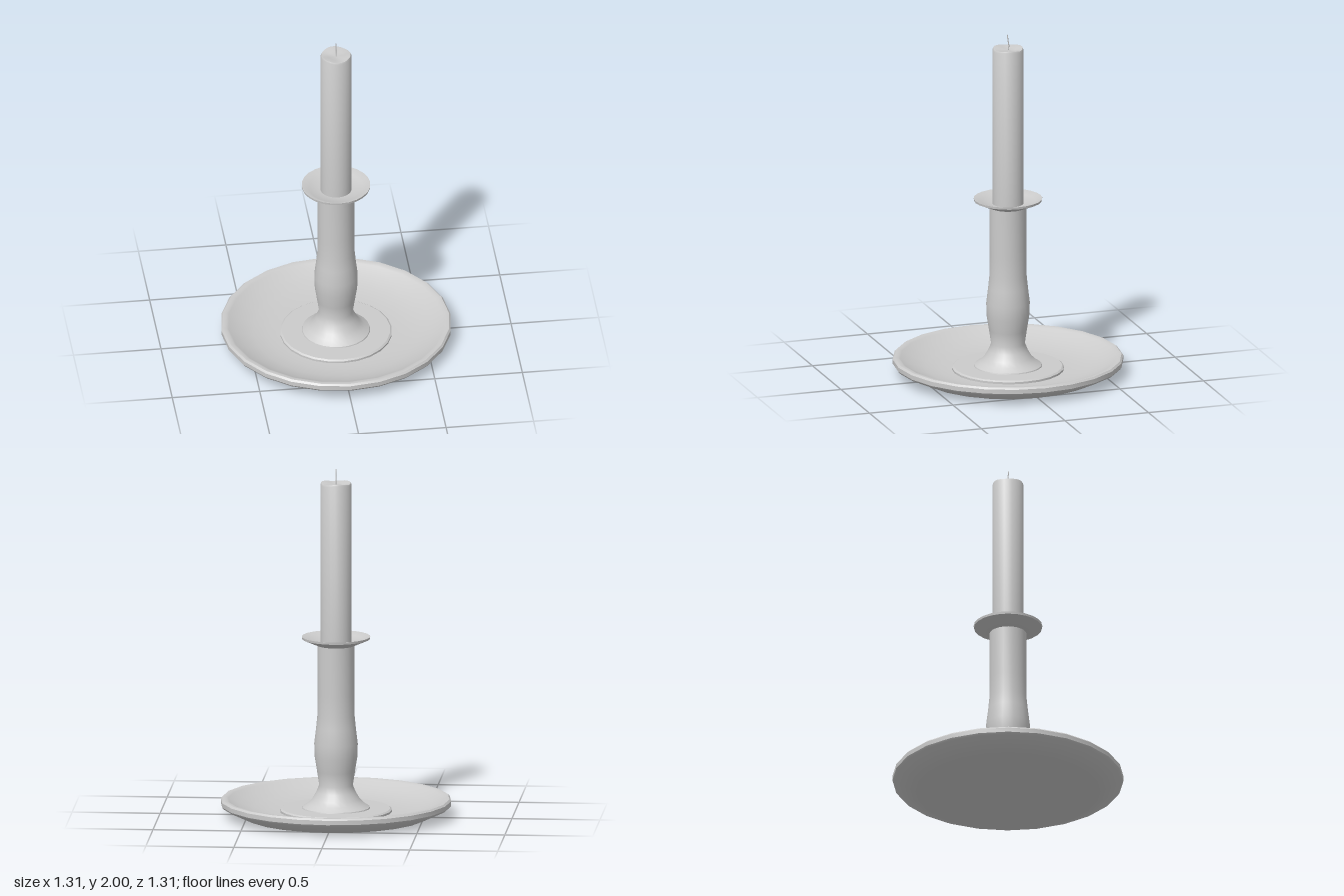
import * as THREE from 'three';
import { toCreasedNormals } from 'three/addons/utils/BufferGeometryUtils.js';

const material = new THREE.MeshStandardMaterial({ color: 0xcccccc, side: THREE.DoubleSide });
const SIDES = 24;

// Turned geometry from [radius, height] pairs, listed from the bottom up the outside.
const turned = (profile) =>
  new THREE.LatheGeometry(profile.map(([r, y]) => new THREE.Vector2(r, y)), SIDES);

function addPart(group, name, geometry, crease = 0.6) {
  const mesh = new THREE.Mesh(crease ? toCreasedNormals(geometry, crease) : geometry, material);
  mesh.name = name;
  group.add(mesh);
}

export function createModel() {
  const group = new THREE.Group();
  group.name = 'candlestick';

  // Wide shallow dish with a flat underside and a narrow rim
  addPart(group, 'dish', turned([
    [0, 0], [0.52, 0], [0.648, 0.06], [0.655, 0.07], [0.655, 0.095], [0.645, 0.105],
    [0.625, 0.105], [0.612, 0.098], [0.55, 0.068], [0.47, 0.045], [0.39, 0.033], [0.315, 0.028], [0, 0.028],
  ]));

  // Low raised disc under the column
  addPart(group, 'baseRing', turned([[0.318, 0.022], [0.318, 0.04], [0.308, 0.047], [0, 0.05]]));

  // Flared foot, swelling grip and straight neck
  addPart(group, 'column', turned([
    [0.195, 0.045], [0.192, 0.054], [0.16, 0.075], [0.135, 0.1], [0.112, 0.14], [0.096, 0.18],
    [0.108, 0.26], [0.121, 0.34], [0.124, 0.42], [0.113, 0.51], [0.106, 0.58],
    [0.105, 0.7], [0.105, 0.99],
  ]));

  // Drip pan with a shallow hollow
  addPart(group, 'dripPan', turned([
    [0, 0.985], [0.105, 0.985], [0.193, 1.023], [0.195, 1.036], [0.19, 1.036], [0.155, 1.018], [0.085, 1.005], [0, 1.005],
  ]));

  // Candle with a slightly melted, uneven top edge
  const candle = turned([
    [0, 1], [0.088, 1], [0.088, 1.912], [0.084, 1.921], [0.075, 1.921], [0.045, 1.914], [0, 1.911],
  ]);
  const p = candle.attributes.position;
  for (let i = 0; i < p.count; i++) {
    const x = p.getX(i), z = p.getZ(i);
    if (p.getY(i) > 1.5) {
      const ripple = 0.004 * Math.sin(3 * Math.atan2(z, x) + 0.6);
      p.setY(i, p.getY(i) + ripple * Math.hypot(x, z) / 0.088);
    }
  }
  addPart(group, 'candle', candle, 0.8);

  // Thin bent wick
  const wickPath = new THREE.CatmullRomCurve3([
    new THREE.Vector3(0, 1.9, 0), new THREE.Vector3(0, 1.935, -0.005),
    new THREE.Vector3(0.001, 1.965, 0), new THREE.Vector3(0, 2, 0.004),
  ]);
  addPart(group, 'wick', new THREE.TubeGeometry(wickPath, 8, 0.003, 6), 0);

  return group;
}
